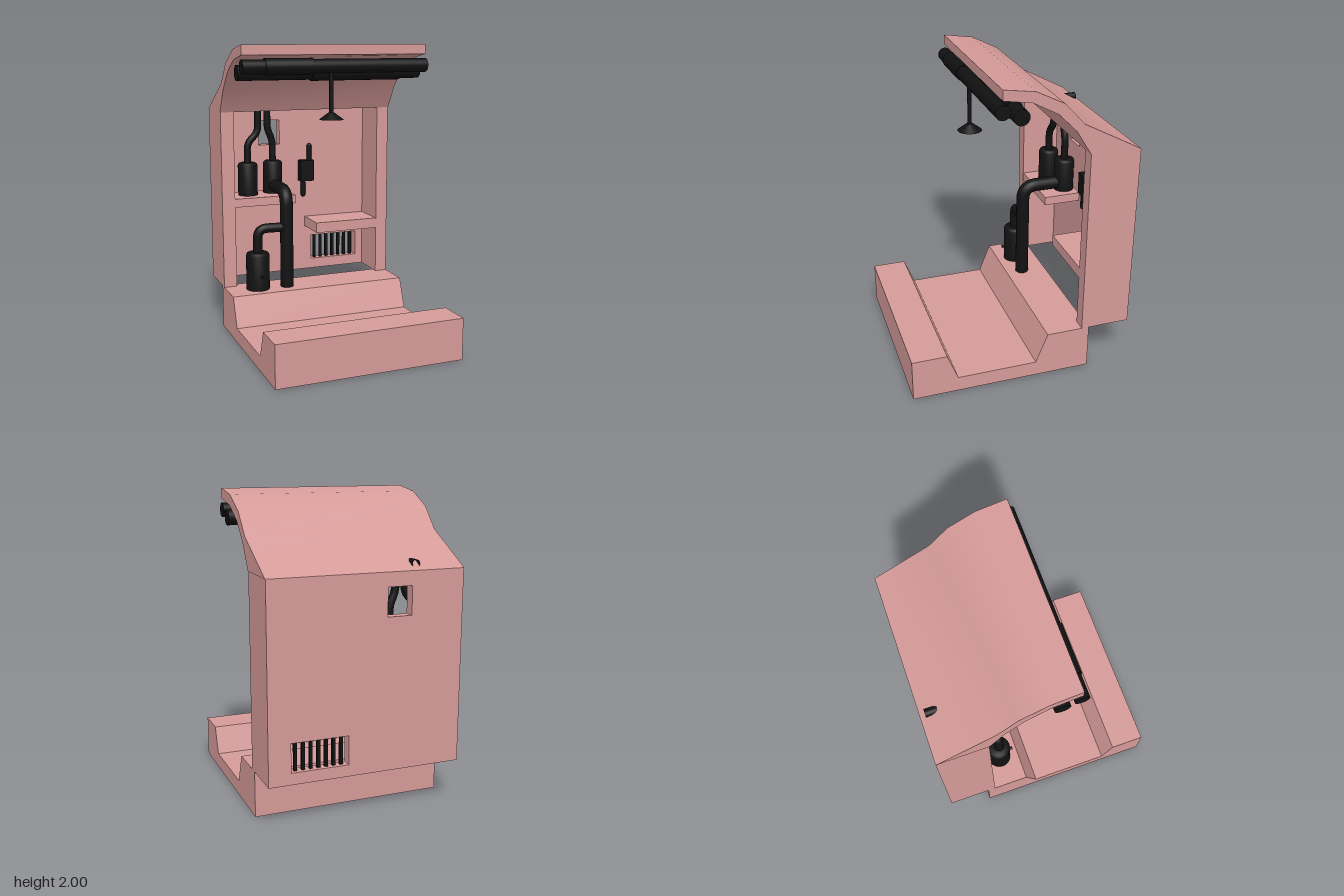
import * as THREE from 'three';
import { toCreasedNormals } from 'three/addons/utils/BufferGeometryUtils.js';

const pink = new THREE.MeshStandardMaterial({ color: 0xd49a98 });
const black = new THREE.MeshStandardMaterial({ color: 0x111111 });
const blackOpen = new THREE.MeshStandardMaterial({ color: 0x111111, side: THREE.DoubleSide });

const W = 1.265;           // overall width
const BACK = -0.74, INNER = -0.67, FRONT = -0.41;

export function createModel() {
  const model = new THREE.Group();

  const add = (name, geometry, material, x = 0, y = 0, z = 0) => {
    const mesh = new THREE.Mesh(geometry, material);
    mesh.name = name;
    mesh.position.set(x, y, z);
    model.add(mesh);
    return mesh;
  };

  // box given by its min and max corners
  const box = (name, material, x0, x1, y0, y1, z0, z1) =>
    add(name, new THREE.BoxGeometry(x1 - x0, y1 - y0, z1 - z0), material,
      (x0 + x1) / 2, (y0 + y1) / 2, (z0 + z1) / 2);

  // side profile of [z, y] points swept across the width
  const sweep = (name, points, width, crease) => {
    const shape = new THREE.Shape(points.map(p => new THREE.Vector2(...p)));
    let g = new THREE.ExtrudeGeometry(shape, { depth: width, bevelEnabled: false });
    g.rotateY(-Math.PI / 2).translate(width / 2, 0, 0);
    add(name, toCreasedNormals(g, crease), pink);
  };

  // tube along a polyline with rounded corners
  const pipe = (name, points, radius, bend) => {
    const p = points.map(a => new THREE.Vector3(...a));
    const path = new THREE.CurvePath();
    let from = p[0];
    for (let i = 1; i < p.length - 1; i++) {
      const a = p[i].clone().add(p[i - 1].clone().sub(p[i]).setLength(bend));
      const b = p[i].clone().add(p[i + 1].clone().sub(p[i]).setLength(bend));
      path.add(new THREE.LineCurve3(from, a));
      path.add(new THREE.QuadraticBezierCurve3(a, p[i], b));
      from = b;
    }
    path.add(new THREE.LineCurve3(from, p[p.length - 1]));
    add(name, new THREE.TubeGeometry(path, 60, radius, 16), blackOpen);
  };

  // upright tank with a softened top edge
  const tank = (name, r, h, x, y, z) => {
    const profile = [[0, 0], [r, 0], [r, h - 0.02], [r - 0.006, h - 0.006], [r - 0.02, h], [0, h]];
    const g = new THREE.LatheGeometry(profile.map(q => new THREE.Vector2(...q)), 24);
    add(name, toCreasedNormals(g, 0.9), black, x, y, z);
  };

  // horizontal bar along x
  const bar = (name, r, x0, x1, y, z) => {
    const g = new THREE.CylinderGeometry(r, r, x1 - x0, 24).rotateZ(Math.PI / 2);
    add(name, g, black, (x0 + x1) / 2, y, z);
  };

  // base with trough
  sweep('base', [[0.74, 0], [0.74, 0.28], [0.51, 0.28], [0.44, 0.1], [-0.09, 0.1],
    [-0.17, 0.3], [-0.46, 0.3], [-0.46, 0]], W, 0.3);

  // curved canopy roof
  sweep('roof', [[0.15, 2], [-0.05, 1.97], [-0.23, 1.88], [-0.36, 1.74], [BACK, 1.54],
    [FRONT, 1.54], [-0.31, 1.7], [-0.19, 1.82], [-0.03, 1.905], [0.15, 1.935]], W + 0.005, 0.6);

  // cabinet side walls
  box('rightWall', pink, -W / 2, -0.54, 0.3, 1.54, BACK, FRONT);
  box('leftWall', pink, 0.545, W / 2, 0.3, 1.54, BACK, FRONT);

  // back wall with window and vent openings
  const rect = (x0, x1, y0, y1, Type = THREE.Path) => new Type([[x0, y0], [x1, y0], [x1, y1], [x0, y1]]
    .map(q => new THREE.Vector2(...q)));
  const wall = rect(-0.54, 0.545, 0.3, 1.54, THREE.Shape);
  wall.holes.push(rect(-0.285, -0.125, 1.27, 1.45), rect(0.12, 0.49, 0.375, 0.56));
  add('backWall', new THREE.ExtrudeGeometry(wall, { depth: INNER - BACK, bevelEnabled: false }),
    pink, 0, 0, BACK);

  // vent bars
  for (let i = 0; i < 7; i++) {
    const x = 0.159 + i * 0.0493;
    box('ventBar', black, x - 0.01, x + 0.01, 0.375, 0.56, -0.715, -0.695);
  }

  // shelves
  box('upperShelf', pink, -0.54, -0.09, 0.87, 0.93, INNER, FRONT - 0.003);
  box('lowerShelf', pink, 0.07, 0.545, 0.635, 0.71, INNER, FRONT - 0.003);

  // tanks
  tank('lowerTank', 0.082, 0.265, -0.415, 0.3, -0.304);
  tank('upperTankRight', 0.07, 0.235, -0.405, 0.93, -0.555);
  tank('upperTankLeft', 0.07, 0.235, -0.205, 0.93, -0.595);
  add('tankKnob', new THREE.CylinderGeometry(0.013, 0.007, 0.03, 12).rotateX(Math.PI / 2),
    black, -0.415, 0.405, -0.217);

  // pipes
  pipe('mainPipe', [[-0.205, 0.3, -0.287], [-0.205, 0.985, -0.287], [-0.205, 0.985, -0.57]], 0.046, 0.1);
  pipe('branchPipe', [[-0.415, 0.55, -0.3], [-0.415, 0.732, -0.3], [-0.205, 0.732, -0.287]], 0.033, 0.07);
  pipe('fluePipe', [[-0.405, 1.15, -0.555], [-0.405, 1.3, -0.555], [-0.325, 1.38, -0.555],
    [-0.325, 1.575, -0.555], [-0.325, 1.575, -0.705]], 0.025, 0.045);
  pipe('ceilingPipe', [[-0.205, 1.15, -0.595], [-0.205, 1.31, -0.595], [-0.243, 1.4, -0.595],
    [-0.243, 1.56, -0.595]], 0.025, 0.04);

  // wall switch with two handles
  box('switchBox', black, 0.02, 0.125, 0.99, 1.145, INNER, -0.61);
  add('switchUpperHandle', new THREE.CapsuleGeometry(0.018, 0.12, 6, 12), black, 0.097, 1.192, -0.64);
  add('switchLowerHandle', new THREE.CapsuleGeometry(0.018, 0.12, 6, 12), black, 0.047, 0.948, -0.64);

  // bars with sleeves under the canopy
  bar('frontBar', 0.046, -0.638, 0.635, 1.863, 0.148);
  bar('frontBarSleeve', 0.053, -0.49, -0.17, 1.863, 0.148);
  bar('rearBar', 0.05, -0.638, 0.635, 1.823, 0.033);
  bar('rearBarSleeve', 0.058, -0.14, 0.49, 1.823, 0.033);

  // hanging lamp
  add('lampRod', new THREE.CylinderGeometry(0.014, 0.014, 0.3, 12), black, -0.04, 1.7, 0.148);
  add('lampShade', new THREE.CylinderGeometry(0.02, 0.08, 0.045, 24), black, -0.04, 1.543, 0.148);

  return model;
}
